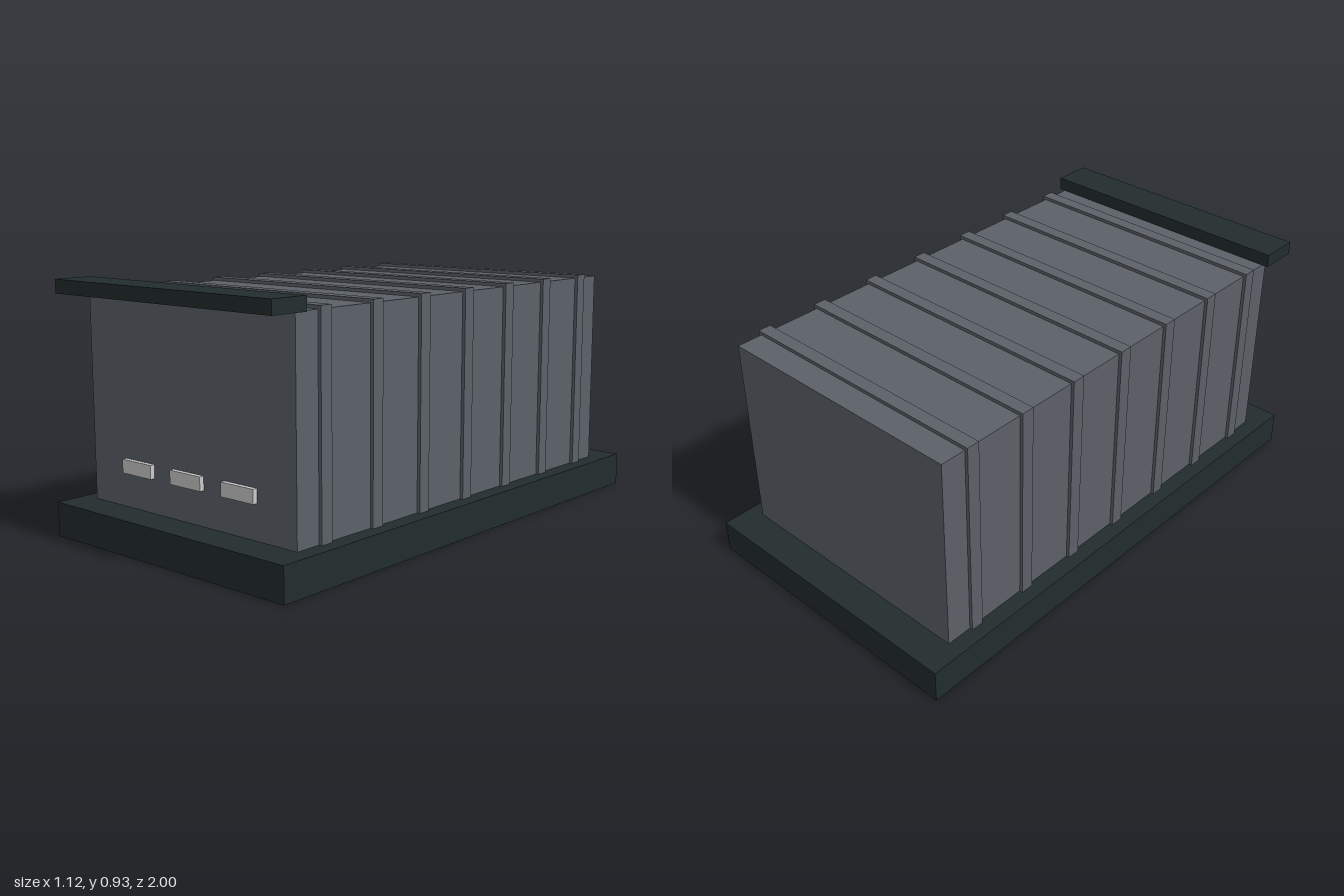
import * as THREE from 'three';

const material = (name, color) => {
  const m = new THREE.MeshStandardMaterial({ color });
  m.name = name;
  return m;
};

export function createModel() {
  const model = new THREE.Group();
  model.name = 'storageUnit';
  const grey = material('slateGrey', 0x5c6068);
  const dark = material('darkGreen', 0x222d2d);
  const pale = material('paleGrey', 0xcacaca);

  // Box given by its size, bottom height and centre in x and z
  const box = (name, mat, [w, h, d], [x, bottom, z]) => {
    const mesh = new THREE.Mesh(new THREE.BoxGeometry(w, h, d), mat);
    mesh.name = name;
    mesh.position.set(x, bottom + h / 2, z);
    model.add(mesh);
  };

  // Plinth and main body
  box('base', dark, [1.125, 0.125, 2], [0, 0, 0]);
  box('body', grey, [1, 0.75, 1.75], [0, 0.125, 0]);

  // Ribs wrapping over the sides and roof
  for (let i = -3; i <= 3; i++) {
    box('rib', grey, [1.025, 0.7625, 0.05], [0, 0.125, i * 0.25]);
  }

  // Canopy over the front edge
  box('canopy', dark, [1.05, 0.05, 0.15], [0, 0.875, 0.925]);

  // Row of front panels
  for (const x of [-0.25, 0, 0.25]) {
    box('frontPanel', pale, [0.15, 0.05, 0.02], [x, 0.25, 0.8825]);
  }
  return model;
}
